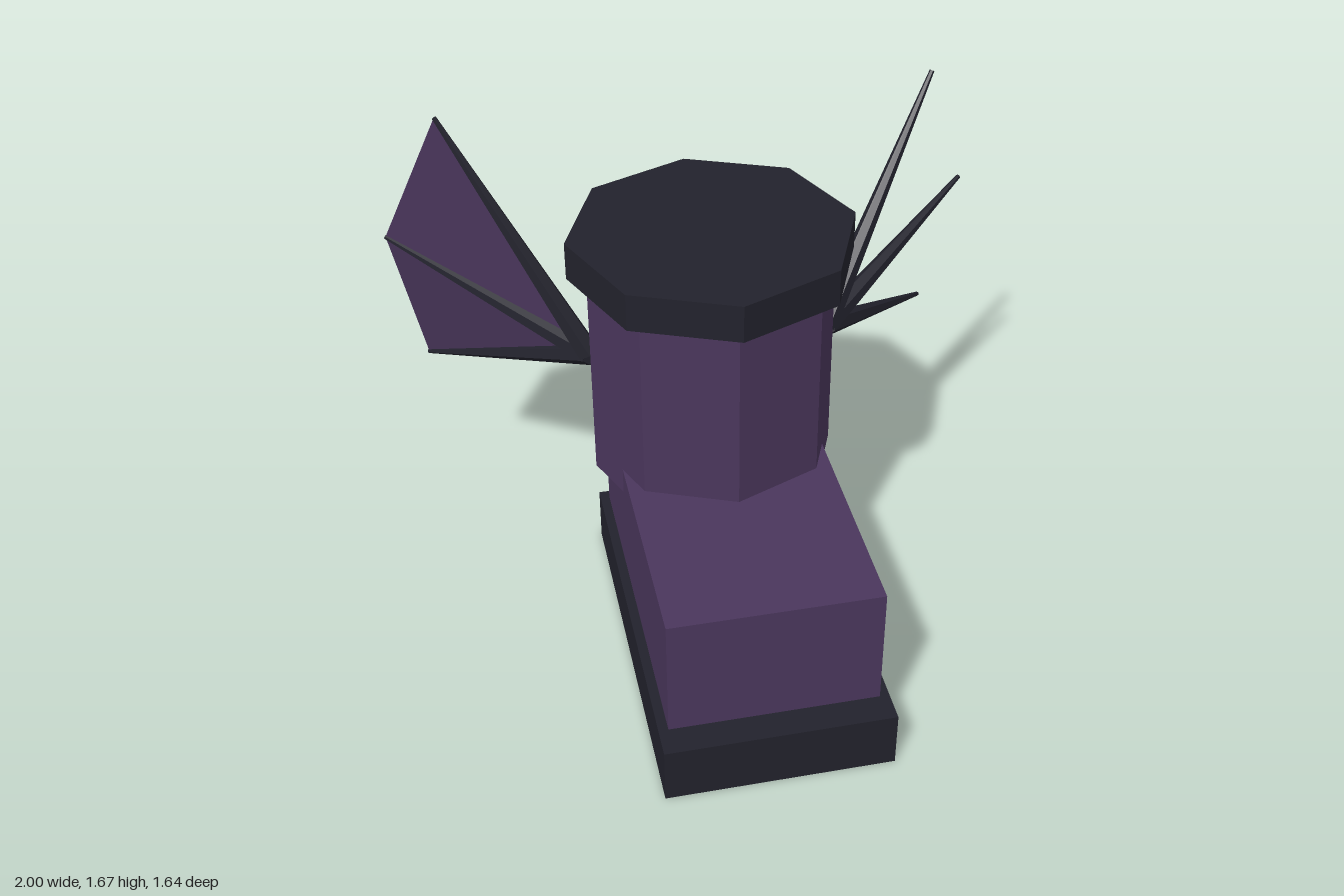
import * as THREE from 'three';

export function createModel() {
  const model = new THREE.Group();
  const purple = new THREE.MeshStandardMaterial({ color: 0x4a365c, flatShading: true });
  purple.name = 'purple leather';
  const dark = new THREE.MeshStandardMaterial({ color: 0x22222c, flatShading: true });
  dark.name = 'dark trim';
  const membraneMat = new THREE.MeshStandardMaterial({ color: 0x4a365c, flatShading: true, side: THREE.DoubleSide });
  membraneMat.name = 'wing membrane purple';

  const add = (name, geometry, material, x, y, z, parent = model) => {
    const mesh = new THREE.Mesh(geometry, material);
    mesh.name = name;
    mesh.position.set(x, y, z);
    parent.add(mesh);
    return mesh;
  };

  // Boot: sole, foot, octagonal shaft and cuff
  add('sole', new THREE.BoxGeometry(0.73, 0.195, 1.276), dark, 0, 0.0975, 0.182);
  add('foot', new THREE.BoxGeometry(0.668, 0.417, 1.146), purple, 0, 0.4035, 0.15);
  add('shaft', new THREE.CylinderGeometry(0.4, 0.4, 0.76, 8), purple, 0, 0.9, -0.2);
  add('cuff', new THREE.CylinderGeometry(0.461, 0.461, 0.125, 8), dark, 0, 1.3175, -0.208);

  // Wings: three tapered spines fan out from one root on each side
  const up = new THREE.Vector3(0, 1, 0);
  const makeWing = (side, name) => {
    const wing = new THREE.Group();
    wing.name = name;
    const root = new THREE.Vector3(side * 0.395, 0.925, -0.272);
    const tips = [[0.8, 1.67, -0.555], [0.995, 1.158, -0.75], [0.897, 0.645, -0.812]]
      .map(([x, y, z]) => new THREE.Vector3(side * x, y, z));
    tips.forEach((tip, i) => {
      const dir = tip.clone().sub(root);
      const mid = root.clone().add(tip).multiplyScalar(0.5);
      const spine = add('wingSpine' + (i + 1), new THREE.CylinderGeometry(0.008, 0.04, dir.length(), 6),
        dark, mid.x, mid.y, mid.z, wing);
      spine.quaternion.setFromUnitVectors(up, dir.normalize());
    });
    model.add(wing);
    return { wing, root, tips };
  };
  makeWing(1, 'leftWing');
  const { wing, root, tips } = makeWing(-1, 'rightWing');

  // Membrane stretched between the spines of the right wing only
  const membrane = new THREE.BufferGeometry().setFromPoints(
    [root, tips[0], tips[1], root, tips[1], tips[2]]);
  membrane.computeVertexNormals();
  add('wingMembrane', membrane, membraneMat, 0, 0, 0, wing);

  return model;
}
